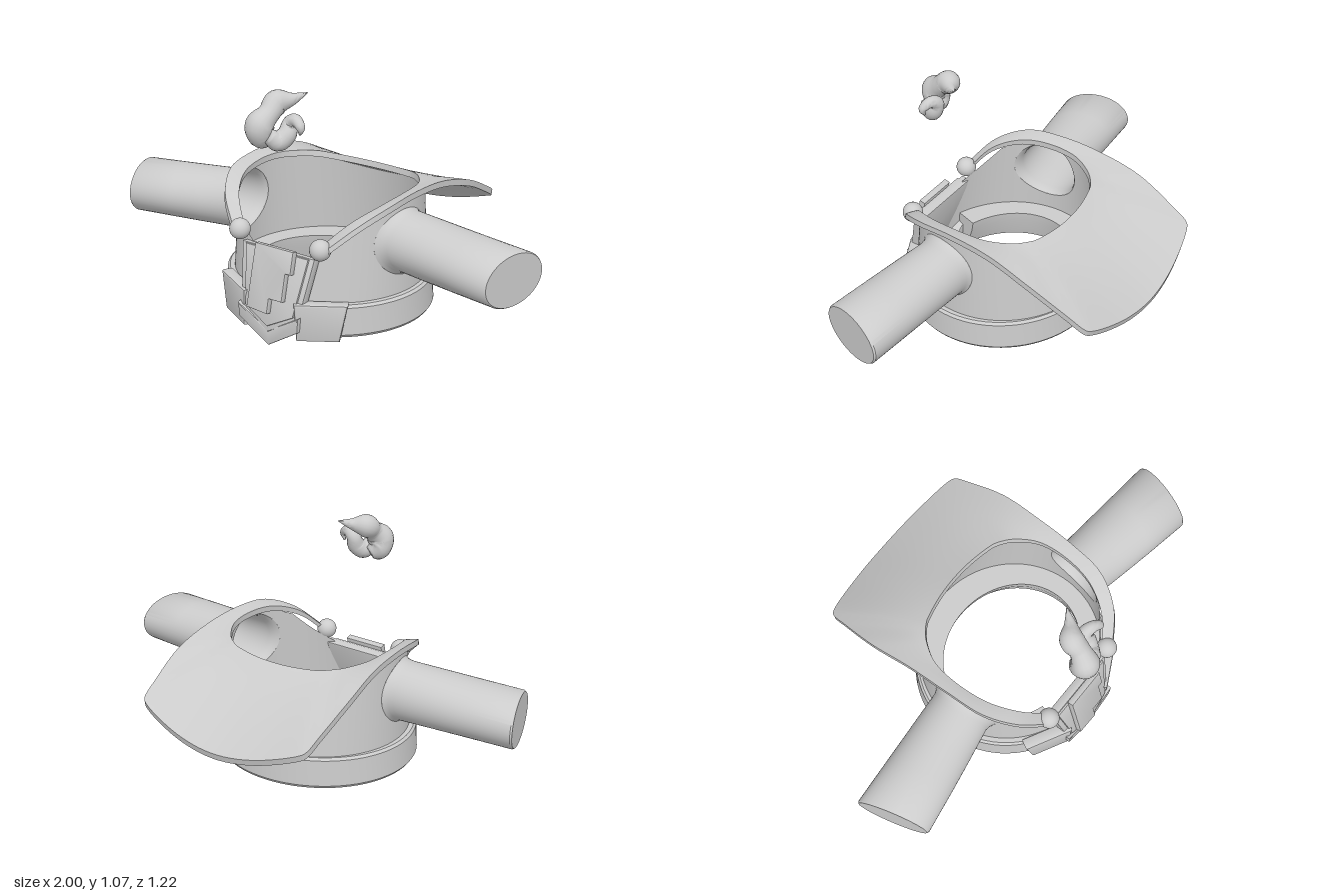
import * as THREE from 'three';
import { toCreasedNormals } from 'three/addons/utils/BufferGeometryUtils.js';

const grey = new THREE.MeshStandardMaterial({ color: 0xcccccc, side: THREE.DoubleSide });
const V = (x, y, z) => new THREE.Vector3(x, y, z);
const lerp = THREE.MathUtils.lerp;

function add(parent, name, geometry) {
  const mesh = new THREE.Mesh(geometry, grey);
  mesh.name = name;
  parent.add(mesh);
  return mesh;
}

// Skin between closed rings of points, keeping edges creased; skip(corners) leaves holes
function loft(rings, crease = 0.6, skip = () => false) {
  const n = rings[0].length, points = rings.flat(), idx = [];
  for (let i = 0; i < rings.length - 1; i++) {
    for (let j = 0; j < n; j++) {
      const a = i * n + j, b = i * n + (j + 1) % n;
      if (skip([a, b, a + n, b + n].map(k => points[k]))) continue;
      idx.push(a, b, a + n, b, b + n, a + n);
    }
  }
  const g = new THREE.BufferGeometry().setFromPoints(points);
  g.setIndex(idx);
  return toCreasedNormals(g, crease);
}

function ring(n, fn) {
  return Array.from({ length: n }, (_, i) => fn(i / n * Math.PI * 2));
}

// Piecewise-linear lookup in [input, output] pairs
function lookup(table, x) {
  if (x <= table[0][0]) return table[0][1];
  for (let i = 1; i < table.length; i++) {
    const [x0, y0] = table[i - 1], [x1, y1] = table[i];
    if (x <= x1) return lerp(y0, y1, (x - x0) / (x1 - x0));
  }
  return table[table.length - 1][1];
}

// Bevelled flat plate from outline points
function plate(points, depth, bevel = 0.006) {
  const shape = new THREE.Shape(points.map(p => new THREE.Vector2(...p)));
  return toCreasedNormals(new THREE.ExtrudeGeometry(shape, {
    depth, bevelSize: bevel, bevelThickness: bevel, bevelOffset: -bevel, bevelSegments: 2
  }), 0.5);
}

// Tube of varying radius through [x, y, z, radius] points
function curl(points) {
  const path = new THREE.CatmullRomCurve3(points.map(p => V(p[0], p[1], p[2])));
  const radii = new THREE.CatmullRomCurve3(points.map(p => V(p[3], 0, 0)));
  const steps = 40, frames = path.computeFrenetFrames(steps);
  const rings = [];
  for (let i = 0; i <= steps; i++) {
    const t = path.getUtoTmapping(i / steps), c = path.getPoint(t);
    const r = Math.max(0.001, radii.getPoint(t).x);
    rings.push(ring(18, a => c.clone()
      .addScaledVector(frames.normals[i], r * Math.cos(a))
      .addScaledVector(frames.binormals[i], r * Math.sin(a))));
  }
  return loft([rings[0].map(() => path.getPoint(0)), ...rings], 1.6);
}

// Oval torso section at height y: radii and centre
function torsoSection(y) {
  const f = (y - 0.07) / 0.53;
  return { rx: 0.43 - 0.015 * f, rz: 0.42 - 0.06 * f, cz: 0.125 - 0.005 * f };
}

function torsoX(y, z) {
  const { rx, rz, cz } = torsoSection(y);
  return rx * Math.sqrt(Math.max(0, 1 - ((z - cz) / rz) ** 2));
}

// Armhole ellipse shared by the torso and the sleeves
const armhole = { y: 0.428, z: 0.178, ry: 0.143, rz: 0.148 };

// Torso shell: rim follows the neckline and dips to a V in front; open armholes
function torso() {
  const rim = [[-0.24, 0.55], [-0.1, 0.58], [0.1, 0.605], [0.25, 0.59],
    [0.36, 0.54], [0.43, 0.44], [0.46, 0.4], [0.477, 0.2]];
  const holeVertices = new Set();
  const rows = 36, rings = [];
  for (let i = 0; i <= rows; i++) {
    rings.push(ring(120, a => {
      const top = lookup(rim, 0.12 + 0.36 * Math.cos(a));
      const y = lerp(0.08, top, i / rows), s = torsoSection(y);
      const p = V(s.rx * Math.sin(a), y, s.cz + s.rz * Math.cos(a));
      const dy = p.y - armhole.y, dz = p.z - armhole.z;
      const rho = Math.hypot(dy / armhole.ry, dz / armhole.rz);
      if (rho < 1) {
        // pull points inside the armhole out to its edge
        p.y = armhole.y + dy / rho;
        p.z = armhole.z + dz / rho;
        p.x = Math.sign(p.x) * torsoX(p.y, p.z);
        holeVertices.add(p);
      }
      return p;
    }));
  }
  return loft(rings, 0.6, corners => corners.every(p => holeVertices.has(p)));
}

// Wide belt, open in front between the clasps
function belt() {
  const section = [[0.368, 0.335, 0.065], [0.452, 0.424, 0.065], [0.461, 0.432, 0.078],
    [0.455, 0.425, 0.196], [0.445, 0.415, 0.207], [0.34, 0.291, 0.207], [0.345, 0.3, 0.16]];
  const rings = [], gap = 0.36, steps = 72;
  for (let i = 0; i <= steps; i++) {
    const a = lerp(gap, Math.PI * 2 - gap, i / steps);
    rings.push(section.map(([rx, rz, y]) => V(rx * Math.sin(a), y, 0.132 + rz * Math.cos(a))));
  }
  const closeEnd = r => r.map(() => r[0]);
  return loft([closeEnd(rings[0]), ...rings, closeEnd(rings[steps])]);
}

// Collar: narrow straps in front that widen into a flap behind
function collar() {
  const mirror = half => new THREE.CatmullRomCurve3(
    [...half, ...half.slice(0, -1).reverse().map(p => [-p[0], p[1], p[2]])].map(p => V(...p)));
  const inner = mirror([[0.19, 0.45, 0.48], [0.285, 0.55, 0.395], [0.35, 0.6, 0.27],
    [0.37, 0.615, 0.12], [0.355, 0.61, -0.01], [0.3, 0.6, -0.105], [0.265, 0.596, -0.138],
    [0.24, 0.593, -0.155], [0.22, 0.59, -0.165], [0.11, 0.584, -0.19], [0, 0.582, -0.198]]);
  const outer = mirror([[0.235, 0.455, 0.505], [0.34, 0.555, 0.42], [0.41, 0.615, 0.29],
    [0.43, 0.632, 0.12], [0.44, 0.617, -0.08], [0.452, 0.562, -0.28], [0.438, 0.475, -0.46],
    [0.425, 0.428, -0.545], [0.402, 0.415, -0.562], [0.2, 0.35, -0.604], [0, 0.325, -0.617]]);
  const rings = [], steps = 120, across = 10;
  for (let i = 0; i <= steps; i++) {
    const p = inner.getPoint(i / steps), q = outer.getPoint(i / steps);
    const top = [];
    for (let j = 0; j <= across; j++) {
      const v = j / across, m = p.clone().lerp(q, v);
      m.y += 0.02 * p.distanceTo(q) * Math.sin(Math.PI * v);
      top.push(m);
    }
    const under = top.map(m => V(m.x, m.y - 0.027, m.z + 0.006)).reverse();
    rings.push([...top, ...under]);
  }
  return loft(rings, 0.7);
}

// Hollow oval sleeve blending into the armhole, with a slanted flat end
function sleeve(side) {
  const section = (t, scale, rise) => ring(48, a => {
    const ry = lerp(armhole.ry * scale, 0.115, t), rz = lerp(armhole.rz * scale, 0.158, t);
    const k = t === 1 ? scale : 1;
    const dy = ry * k * Math.sin(a), dz = rz * k * Math.cos(a);
    const y = lerp(armhole.y, 0.412, t) + dy, z = lerp(armhole.z, 0.245, t) + dz;
    return V(side * lerp(torsoX(y, z) + rise, 0.955 - 0.29 * dz, t), y, z);
  });
  return loft([section(0, 1, 0), section(0, 0.955, 0.008), section(0, 0.925, 0.022),
    section(0, 0.91, 0.045), ...[0.3, 0.6, 0.985].map(t => section(t, 0.91, 0.045)),
    section(1, 0.96, 0), section(1, 0.001, 0)], 0.7);
}

export function createModel() {
  const group = new THREE.Group();
  add(group, 'torso', torso());
  add(group, 'belt', belt());
  add(group, 'collar', collar());

  for (const side of [1, -1]) {
    const prefix = side > 0 ? 'left' : 'right';
    add(group, prefix + 'Sleeve', sleeve(side));
    add(group, prefix + 'CollarButton', new THREE.SphereGeometry(0.045, 28, 18))
      .position.set(side * 0.205, 0.448, 0.495);
    // Belt clasp wrapping the front corner
    const clasp = add(group, prefix + 'Clasp', plate(
      [[-0.11, 0.215], [0.115, 0.22], [0.08, 0.055], [-0.1, 0.05]]
        .map(([x, y]) => [side * x, y]), 0.035, 0.009));
    clasp.position.set(side * 0.205, 0, 0.49);
    clasp.rotation.y = side * 0.48;
  }

  // Pointed chevron beneath the chest plate
  add(group, 'plateChevron', plate(
    [[-0.15, 0.095], [0, 0], [0.15, 0.095], [0.155, 0.16], [0, 0.07], [-0.155, 0.16]], 0.095))
    .position.z = 0.486;

  // Leaning layered chest plate
  const chest = new THREE.Group();
  chest.name = 'chestPlate';
  chest.position.set(0, 0.065, 0.592);
  chest.rotation.x = -0.25;
  group.add(chest);
  add(chest, 'plateFrame', plate(
    [[-0.185, 0.35], [-0.145, 0.08], [0, 0], [0.145, 0.08], [0.185, 0.35]], 0.03))
    .position.z = -0.035;
  add(chest, 'platePanel', plate(
    [[-0.16, 0.345], [-0.122, 0.09], [0, 0.025], [0.122, 0.09], [0.16, 0.345]], 0.015, 0.004))
    .position.z = -0.009;
  add(chest, 'steppedPanel', plate(
    [[-0.092, 0.365], [-0.095, 0.09], [0.01, 0.083], [0.01, 0.148], [0.075, 0.148],
      [0.075, 0.268], [0.1, 0.268], [0.1, 0.365]], 0.024, 0.003))
    .position.z = 0.01;

  // Floating curled tuft
  const tuft = new THREE.Group();
  tuft.name = 'tuft';
  group.add(tuft);
  add(tuft, 'mainLock', curl([[-0.03, 0.875, 0.495, 0.03], [-0.053, 0.896, 0.523, 0.056],
    [-0.056, 0.94, 0.538, 0.06], [-0.04, 0.985, 0.495, 0.045], [-0.035, 1.018, 0.45, 0.052],
    [0.01, 1.03, 0.405, 0.026], [0.05, 1.05, 0.355, 0.002]]));
  add(tuft, 'smallLock', curl([[-0.005, 0.91, 0.545, 0.03], [0.015, 0.882, 0.51, 0.042],
    [0.035, 0.905, 0.48, 0.04], [0.04, 0.95, 0.46, 0.031], [0.075, 0.968, 0.47, 0.025],
    [0.108, 0.945, 0.485, 0.018], [0.1, 0.915, 0.48, 0.004]]));
  return group;
}
